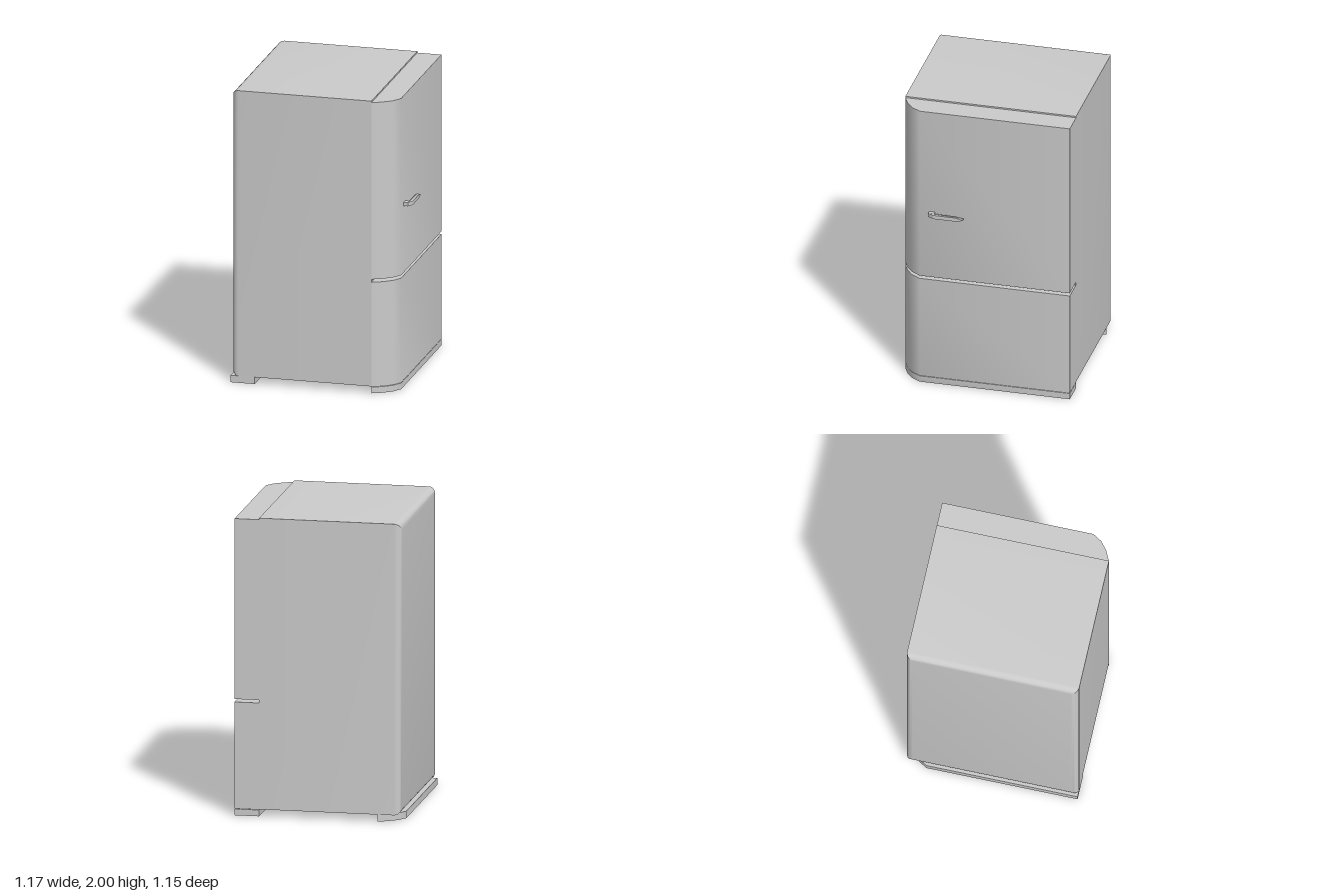
import * as THREE from 'three';
import { toCreasedNormals } from 'three/addons/utils/BufferGeometryUtils.js';

const D = 0.577; // half depth along z
const material = new THREE.MeshStandardMaterial({ color: 0xcccccc });

// Plan outline [x, z] extruded upward from y0 to y1
function slabGeometry(points, y0, y1) {
  const shape = new THREE.Shape(points.map(([x, z]) => new THREE.Vector2(x, -z)));
  const geo = new THREE.ExtrudeGeometry(shape, { depth: y1 - y0, bevelEnabled: false });
  geo.rotateX(-Math.PI / 2);
  geo.translate(0, y0, 0);
  return geo;
}

function part(name, geo, crease = 0.62) {
  const mesh = new THREE.Mesh(toCreasedNormals(geo, crease), material);
  mesh.name = name;
  return mesh;
}

// Door plan with one rounded corner
const doorPlan = [
  [0.37, D], [0.37, -D], [0.534, -D], [0.534, 0.437],
  [0.495, 0.5], [0.437, 0.545],
];

// Cabinet box whose rear edges curve inward
function cabinetGeometry() {
  const x0 = -0.577, x1 = 0.37, y0 = 0.047, y1 = 2, r = 0.046, steps = 6;
  const cy = (y0 + y1) / 2;
  const geo = new THREE.BoxGeometry(steps + 1, y1 - y0, 2 * D, steps + 1, 1, 1);
  const p = geo.attributes.position;
  for (let i = 0; i < p.count; i++) {
    const k = Math.round(p.getX(i) + (steps + 1) / 2);
    const a = (Math.min(k, steps) / steps) * Math.PI / 2;
    const inset = r * (1 - Math.sin(a));
    const x = k > steps ? x1 : x0 + r * (1 - Math.cos(a));
    const y = p.getY(i), z = p.getZ(i);
    p.setXYZ(i, x, cy + y - Math.sign(y) * inset, z - Math.sign(z) * inset);
  }
  return geo;
}

// Hooked handle, tapering in height towards its free end
function handleGeometry() {
  const geo = slabGeometry([
    [0.53, 0.373], [0.53, 0.334], [0.56, 0.334], [0.56, 0.19], [0.56, 0.135],
    [0.585, 0.135], [0.585, 0.19], [0.585, 0.334], [0.563, 0.373],
  ], -0.013, 0.013);
  const p = geo.attributes.position;
  for (let i = 0; i < p.count; i++) {
    if (p.getZ(i) < 0.15) p.setY(i, p.getY(i) * 0.25);
  }
  geo.translate(0, 1.248, 0);
  return geo;
}

export function createModel() {
  const group = new THREE.Group();
  group.name = 'refrigerator';

  group.add(part('cabinet', cabinetGeometry()));
  group.add(part('upperDoor', slabGeometry(doorPlan, 0.78, 1.99)));
  group.add(part('lowerDoor', slabGeometry(doorPlan, 0.045, 0.76)));
  group.add(part('doorHandle', handleGeometry(), 0.3));

  // Plinths under the door side and, turned half round, the rear side
  group.add(part('frontPlinth', slabGeometry(doorPlan, 0, 0.042)));
  const rear = part('rearPlinth', slabGeometry(doorPlan, 0, 0.047));
  rear.rotation.y = Math.PI;
  rear.position.x = -0.051;
  group.add(rear);

  return group;
}
